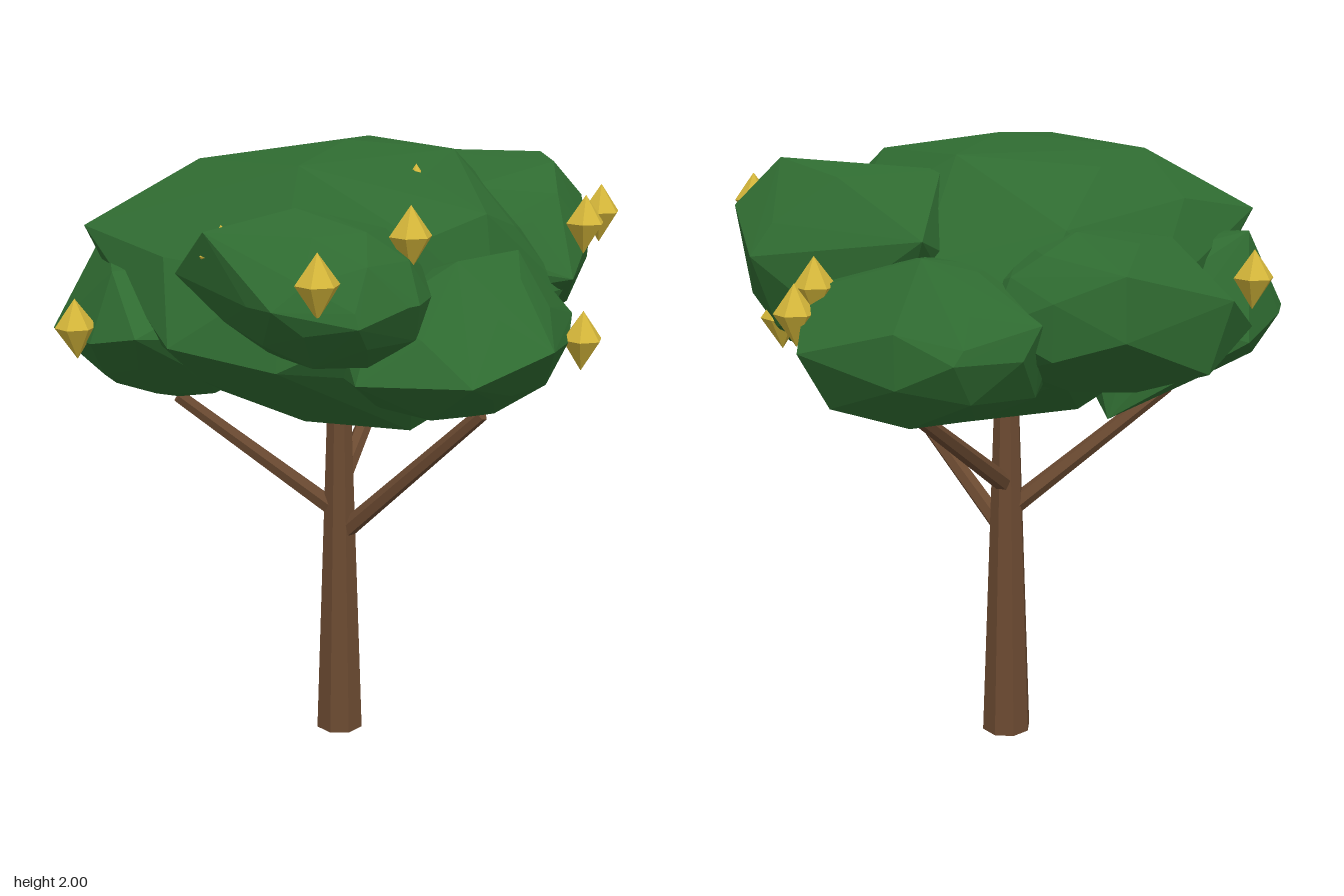
import * as THREE from 'three';
import { ConvexGeometry } from 'three/addons/geometries/ConvexGeometry.js';

const mat = (name, color) => {
  const m = new THREE.MeshStandardMaterial({ color, flatShading: true });
  m.name = name;
  return m;
};

// Repeatable noise for a direction, rounded so shared corners move together
function noise(v, seed) {
  const r = (n) => Math.round(n * 100) / 100;
  const s = Math.sin(r(v.x) * 12.99 + r(v.y) * 78.23 + r(v.z) * 37.72 + seed * 5.17) * 4375.85;
  return s - Math.floor(s);
}

// Faceted leaf clump: an uneven ellipsoid hulled together with a few jutting corners
function leafClump({ center, radii, corners }, seed) {
  const pos = new THREE.IcosahedronGeometry(1, 1).attributes.position;
  const points = corners.map((c) => new THREE.Vector3(...c));
  for (let i = 0; i < pos.count; i++) {
    const v = new THREE.Vector3().fromBufferAttribute(pos, i);
    v.multiplyScalar(0.94 + 0.1 * noise(v, seed));
    points.push(v.multiply(new THREE.Vector3(...radii)).add(new THREE.Vector3(...center)));
  }
  return new ConvexGeometry(points);
}

// Tapered limb between two points
function limb(a, b, r0, r1, sides, material) {
  const from = new THREE.Vector3(...a), to = new THREE.Vector3(...b);
  const dir = to.clone().sub(from);
  const mesh = new THREE.Mesh(new THREE.CylinderGeometry(r1, r0, dir.length(), sides), material);
  mesh.position.copy(from).addScaledVector(dir, 0.5);
  mesh.quaternion.setFromUnitVectors(new THREE.Vector3(0, 1, 0), dir.normalize());
  return mesh;
}

const clumps = {
  crown: {
    center: [-0.02, 1.56, 0], radii: [0.65, 0.42, 0.71],
    corners: [[0, 2, 0], [-0.28, 1.97, -0.39], [0.22, 1.97, 0.41], [-0.27, 1.95, 0.36],
      [0.15, 1.96, -0.33], [-0.46, 1.76, 0.66], [-0.03, 1.72, 0.7], [-0.4, 1.92, 0.05],
      [-0.5, 1.82, 0.3], [0.52, 1.82, -0.05], [0.05, 1.48, 0.76], [0.37, 1.17, 0.1],
      [-0.1, 1.15, -0.4]],
  },
  clumpLeftSide: {
    center: [0.47, 1.46, 0.04], radii: [0.33, 0.23, 0.39],
    corners: [[0.87, 1.49, 0.07], [0.8, 1.42, 0.33], [0.75, 1.35, 0.1], [0.6, 1.26, 0.1],
      [0.62, 1.5, -0.35], [0.69, 1.66, 0], [0.6, 1.72, 0.17], [0.6, 1.72, -0.1],
      [0.5, 1.4, 0.47]],
  },
  clumpFrontLeft: {
    center: [0.36, 1.64, 0.44], radii: [0.3, 0.22, 0.29],
    corners: [[0.2, 1.82, 0.745], [0.46, 1.64, 0.74], [0.3, 1.87, 0.5], [0.64, 1.6, 0.6],
      [0.67, 1.64, 0.4], [0.02, 1.68, 0.7], [0.5, 1.78, 0.3]],
  },
  clumpFrontRight: {
    center: [-0.32, 1.45, 0.43], radii: [0.34, 0.24, 0.35],
    corners: [[-0.52, 1.45, 0.75], [-0.22, 1.46, 0.83], [-0.03, 1.5, 0.81], [-0.45, 1.17, 0.05],
      [-0.7, 1.4, 0.39], [-0.22, 1.66, 0.74], [-0.61, 1.72, 0.47]],
  },
  clumpRightSide: {
    center: [-0.53, 1.53, -0.08], radii: [0.32, 0.25, 0.38],
    corners: [[-0.85, 1.69, -0.28], [-0.875, 1.52, -0.3], [-0.85, 1.38, 0.05],
      [-0.86, 1.58, 0.13], [-0.57, 1.77, -0.2], [-0.58, 1.72, -0.33], [-0.66, 1.58, -0.4],
      [-0.7, 1.45, 0.4]],
  },
  clumpBackRight: {
    center: [-0.27, 1.46, -0.47], radii: [0.38, 0.25, 0.34],
    corners: [[-0.2, 1.46, -0.88], [-0.6, 1.5, -0.62], [-0.67, 1.55, -0.41],
      [-0.42, 1.72, -0.62], [-0.1, 1.61, -0.78], [-0.2, 1.29, -0.78]],
  },
  clumpBackLeft: {
    center: [0.12, 1.62, -0.45], radii: [0.42, 0.28, 0.34],
    corners: [[0.13, 1.68, -0.82], [0.27, 1.94, -0.62], [0.37, 1.92, -0.56], [0.36, 1.8, -0.73],
      [0.48, 1.84, -0.44], [0.52, 1.7, -0.56], [0, 1.9, -0.6], [0.61, 1.6, -0.36],
      [-0.4, 1.76, -0.6], [-0.25, 1.93, -0.42]],
  },
};

export function createModel() {
  const bark = mat('bark brown', 0x6b4a31);
  const leaf = mat('leaf green', 0x2f6b31);
  const gold = mat('fruit gold', 0xd4b63a);
  const tree = new THREE.Group();
  tree.name = 'tree';

  // Trunk
  const trunk = limb([-0.033, 0, 0], [-0.033, 1.4, 0], 0.083, 0.033, 8, bark);
  trunk.geometry.rotateY(Math.PI / 8);
  trunk.name = 'trunk';
  tree.add(trunk);

  // Branches
  [
    [[-0.02, 0.71, 0], [0.465, 1.195, -0.12]],
    [[-0.035, 0.78, 0], [-0.35, 1.2, 0.41]],
    [[-0.035, 0.87, 0], [-0.25, 1.22, -0.5]],
  ].forEach(([a, b], i) => {
    const branch = limb(a, b, 0.032, 0.023, 6, bark);
    branch.name = `branch${i + 1}`;
    tree.add(branch);
  });

  // Canopy: a broad crown with smaller clumps around it
  const canopy = new THREE.Group();
  canopy.name = 'canopy';
  Object.entries(clumps).forEach(([name, spec], i) => {
    const mesh = new THREE.Mesh(leafClump(spec, i + 1), leaf);
    mesh.name = name;
    canopy.add(mesh);
  });
  tree.add(canopy);

  // Six-sided pointed fruit
  const profile = [[0, -0.09], [0.061, 0.004], [0, 0.088]];
  const fruitGeo = new THREE.LatheGeometry(profile.map((p) => new THREE.Vector2(...p)), 6);
  fruitGeo.rotateY(Math.PI / 6);
  [
    [-0.73, 1.6, 0.36], [-0.27, 1.5, 0.84], [0.55, 1.71, 0.66], [0.57, 1.8, 0.33],
    [0.76, 1.46, -0.21], [0.6, 1.76, -0.42], [0.57, 1.78, -0.54], [-0.12, 1.55, -0.83],
    [-0.13, 1.62, -0.77], [0.17, 1.48, -0.7], [0.2, 1.745, 0.68], [0.28, 1.86, -0.01],
  ].forEach((p, i) => {
    const fruit = new THREE.Mesh(fruitGeo, gold);
    fruit.position.set(...p);
    fruit.name = `fruit${i + 1}`;
    tree.add(fruit);
  });

  return tree;
}
